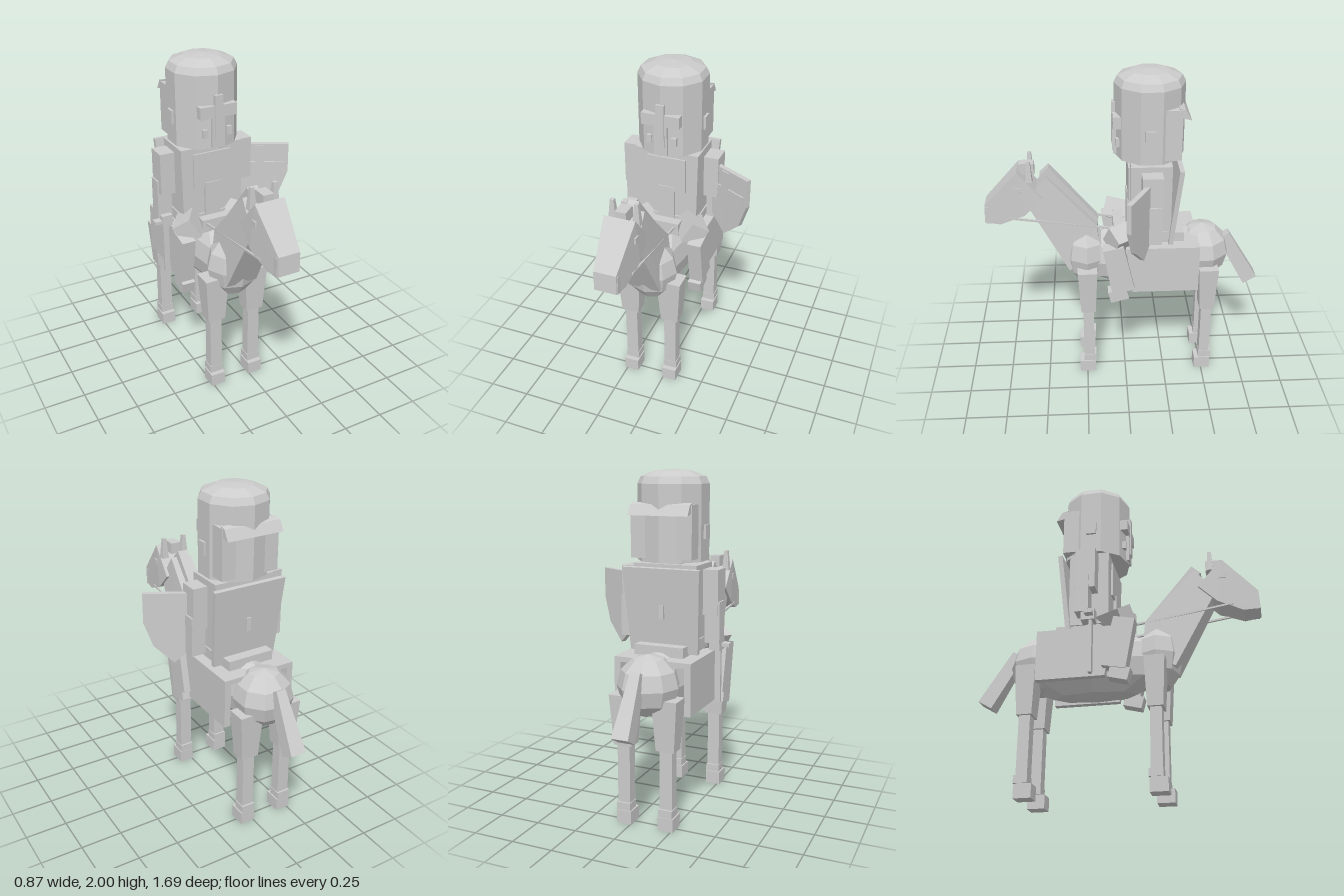
import * as THREE from 'three';

const CX = -0.09; // shared centre line of horse and rider

export function createModel() {
  const stone = new THREE.MeshStandardMaterial({ color: 0xcccccc, flatShading: true });
  stone.name = 'plain grey';
  const model = new THREE.Group();
  model.name = 'mountedKnight';
  const body = new THREE.Group();
  body.name = 'horseAndRider';
  body.position.x = CX;
  model.add(body);

  function add(name, geo, x = 0, y = 0, z = 0, parent = body) {
    const m = new THREE.Mesh(geo, stone);
    m.name = name;
    m.position.set(x, y, z);
    parent.add(m);
    return m;
  }
  // box given by its limits
  const box = (name, x0, x1, y0, y1, z0, z1, parent = body) =>
    add(name, new THREE.BoxGeometry(x1 - x0, y1 - y0, z1 - z0),
      (x0 + x1) / 2, (y0 + y1) / 2, (z0 + z1) / 2, parent);
  // box whose lower and upper ends differ in width and depth
  function taper(h, w0, d0, w1, d1) {
    const g = new THREE.BoxGeometry(1, h, 1), p = g.attributes.position;
    for (let i = 0; i < p.count; i++) {
      const top = p.getY(i) > 0;
      p.setX(i, p.getX(i) * (top ? w1 : w0));
      p.setZ(i, p.getZ(i) * (top ? d1 : d0));
    }
    g.computeVertexNormals();
    return g;
  }
  // tapered beam from point a (lower end) to point b (upper end)
  function beam(name, a, b, w0, d0, w1 = w0, d1 = d0) {
    const A = new THREE.Vector3(...a), B = new THREE.Vector3(...b);
    const m = add(name, taper(A.distanceTo(B), w0, d0, w1, d1));
    m.position.copy(A).lerp(B, 0.5);
    m.quaternion.setFromUnitVectors(new THREE.Vector3(0, 1, 0), B.sub(A).normalize());
    return m;
  }
  // side profile of (z, y) points; half width follows a rule
  function sideSolid(name, pts, half) {
    const s = new THREE.Shape(pts.map(([z, y]) => new THREE.Vector2(-z, y)));
    const g = new THREE.ExtrudeGeometry(s, { depth: 2, bevelEnabled: false });
    g.translate(0, 0, -1).rotateY(Math.PI / 2);
    const p = g.attributes.position;
    for (let i = 0; i < p.count; i++) p.setX(i, p.getX(i) * half(p.getZ(i), p.getY(i)));
    g.computeVertexNormals();
    return add(name, g);
  }
  function ball(name, rx, ry, rz, y, z, nw = 8, nh = 6) {
    const m = add(name, new THREE.SphereGeometry(1, nw, nh), 0, y, z);
    m.scale.set(rx, ry, rz);
    return m;
  }
  const lerp = THREE.MathUtils.lerp;

  // Horse body
  ball('belly', 0.17, 0.21, 0.5, 0.8, -0.14, 8, 6);
  ball('chest', 0.165, 0.2, 0.14, 0.82, 0.235, 8, 6);
  ball('rump', 0.18, 0.18, 0.175, 0.825, -0.485, 9, 6);

  // Neck, mane and head
  sideSolid('neck', [[0.59, 1.2], [0.47, 1.37], [0.17, 1.04], [0.15, 0.82], [0.345, 0.74]],
    (z, y) => lerp(0.1, 0.07, THREE.MathUtils.clamp((y - 0.8) / 0.5, 0, 1)));
  sideSolid('mane', [[0.505, 1.365], [0.45, 1.415], [0.16, 1.065], [0.2, 1.03]], () => 0.032);
  sideSolid('horseHead',
    [[0.635, 1.41], [0.84, 1.19], [0.845, 1.075], [0.75, 1.065], [0.6, 1.13], [0.49, 1.24]],
    (z) => lerp(0.095, 0.065, THREE.MathUtils.clamp((z - 0.6) / 0.24, 0, 1)));
  box('forelock', -0.032, 0.032, 1.37, 1.44, 0.535, 0.625);
  box('muzzleBand', -0.07, 0.07, 1.07, 1.18, 0.75, 0.835);
  beam('tail', [0, 0.6, -0.805], [0, 0.92, -0.62], 0.1, 0.095, 0.06, 0.08);

  // Legs, eyes and ears
  for (const s of [-1, 1]) {
    const x = s * 0.13;
    for (const [label, z] of [['front', 0.235], ['hind', -0.515]]) {
      add(label + 'UpperLeg', taper(0.295, 0.11, 0.09, 0.15, 0.12), x, 0.623, z);
      box(label + 'LowerLeg', x - 0.038, x + 0.038, 0.06, 0.5, z - 0.033, z + 0.033);
      box(label + 'Fetlock', x - 0.042, x + 0.042, 0.085, 0.13, z - 0.045, z + 0.035);
      box(label + 'Hoof', x - 0.046, x + 0.046, 0, 0.08, z - 0.04, z + 0.062);
    }
    box('horseEye', s * 0.088 - 0.01, s * 0.088 + 0.01, 1.28, 1.315, 0.615, 0.655);
    add('horseEar', taper(0.13, 0.045, 0.04, 0.022, 0.022), s * 0.07, 1.41, 0.565);
    // reins
    beam('rein', [s * 0.08, 1.035, 0.18], [s * 0.085, 1.11, 0.69], 0.012, 0.012);
    beam('reinEnd', [s * 0.08, 1.01, -0.02], [s * 0.08, 1.04, 0.2], 0.012, 0.012);
  }

  // Saddle cloth and saddle
  box('saddleClothTop', -0.23, 0.23, 0.93, 0.96, -0.445, -0.01);
  for (const s of [-1, 1]) {
    const side = sideSolid('saddleClothSide',
      [[0, 0.96], [-0.445, 0.96], [-0.445, 0.655], [-0.04, 0.655]], () => 0.02);
    side.position.x = s * 0.215;
  }
  box('saddle', -0.15, 0.15, 0.95, 1.0, -0.3, 0.02);
  box('saddlePommel', -0.11, 0.11, 0.97, 1.05, 0.01, 0.07);
  box('saddleCantle', -0.15, 0.15, 0.96, 1.02, -0.355, -0.27);

  // Rider legs and feet
  for (const s of [-1, 1]) {
    beam('thigh', [s * 0.1, 1.02, -0.1], [s * 0.225, 1.01, 0.09], 0.12, 0.13);
    const shin = beam('shin', [s * 0.235, 0.685, 0.018], [s * 0.235, 0.985, 0.078], 0.085, 0.14, 0.085, 0.125);
    shin.name = 'lowerLeg';
    const foot = box('foot', s * 0.23 - 0.04, s * 0.23 + 0.04, 0.615, 0.69, -0.01, 0.105);
    foot.rotation.x = 0.25;
  }

  // Torso and surcoat
  add('torso', taper(0.5, 0.37, 0.24, 0.39, 0.24), 0, 1.225, -0.15);
  box('belt', -0.195, 0.195, 1.0, 1.05, -0.28, -0.02);
  box('chestPanel', -0.12, 0.12, 1.22, 1.44, -0.05, -0.018);
  box('surcoatStrip', -0.05, 0.05, 0.98, 1.25, -0.05, -0.012);
  box('collar', -0.085, 0.085, 1.46, 1.5, -0.24, -0.07);
  const cape = add('cape', taper(0.49, 0.42, 0.028, 0.47, 0.028), 0, 1.215, -0.295);
  cape.rotation.x = -0.11;
  box('capeClasp', -0.015, 0.015, 1.17, 1.25, -0.322, -0.29);

  // Arms
  for (const s of [-1, 1]) {
    box('upperArm', s * 0.255 - 0.045, s * 0.255 + 0.045, 1.19, 1.45, -0.21, -0.09);
    box('forearm', s * 0.265 - 0.045, s * 0.265 + 0.045, 1.03, 1.27, -0.205, -0.125);
  }

  // Sword held at the right side
  box('swordHand', -0.3, -0.235, 0.98, 1.05, -0.17, -0.09);
  box('swordGuard', -0.345, -0.225, 1.0, 1.02, -0.14, -0.095);
  box('swordBlade', -0.29, -0.255, 0.66, 1.01, -0.125, -0.105);

  // Helmet with a low dome
  const profile = [[0, 1.49], [0.206, 1.49], [0.206, 1.92], [0.186, 1.96], [0.11, 1.99], [0, 2]]
    .map(([r, y]) => new THREE.Vector2(r, y));
  add('helmet', new THREE.LatheGeometry(profile, 10), 0, 0, -0.145);
  box('faceCrossUpright', -0.025, 0.025, 1.55, 1.81, 0.03, 0.075);
  box('faceCrossBar', -0.115, 0.115, 1.68, 1.75, 0.015, 0.07);
  box('faceRidge', -0.04, 0.04, 1.5, 1.68, 0.03, 0.067);
  for (const s of [-1, 1]) {
    box('breathHole', s * 0.075 - 0.015, s * 0.075 + 0.015, 1.56, 1.61, 0.02, 0.055);
    box('sideStud', s * 0.2 - 0.01, s * 0.2 + 0.01, 1.615, 1.695, -0.17, -0.11);
  }
  box('neckGuard', -0.185, 0.185, 1.51, 1.81, -0.32, -0.22);
  sideSolid('neckGuardBrim', [[-0.3, 1.82], [-0.335, 1.81], [-0.37, 1.75], [-0.31, 1.765]], () => 0.18);

  // Shield with a raised cross
  const shield = new THREE.Group();
  shield.name = 'shield';
  shield.position.set(0.27, 0, -0.085);
  shield.rotation.y = -0.5;
  model.add(shield);
  const outline = new THREE.Shape([[-0.175, 1.4], [-0.175, 1.22], [-0.12, 1.07], [0, 0.96],
    [0.12, 1.07], [0.175, 1.22], [0.175, 1.4]].map(([x, y]) => new THREE.Vector2(x, y)));
  add('shieldPlate', new THREE.ExtrudeGeometry(outline, { depth: 0.03, bevelEnabled: false }),
    0, 0, -0.015, shield);
  box('shieldCrossUpright', -0.028, 0.028, 1.03, 1.39, 0.01, 0.024, shield);
  box('shieldCrossBar', -0.155, 0.155, 1.22, 1.285, 0.01, 0.024, shield);

  return model;
}
